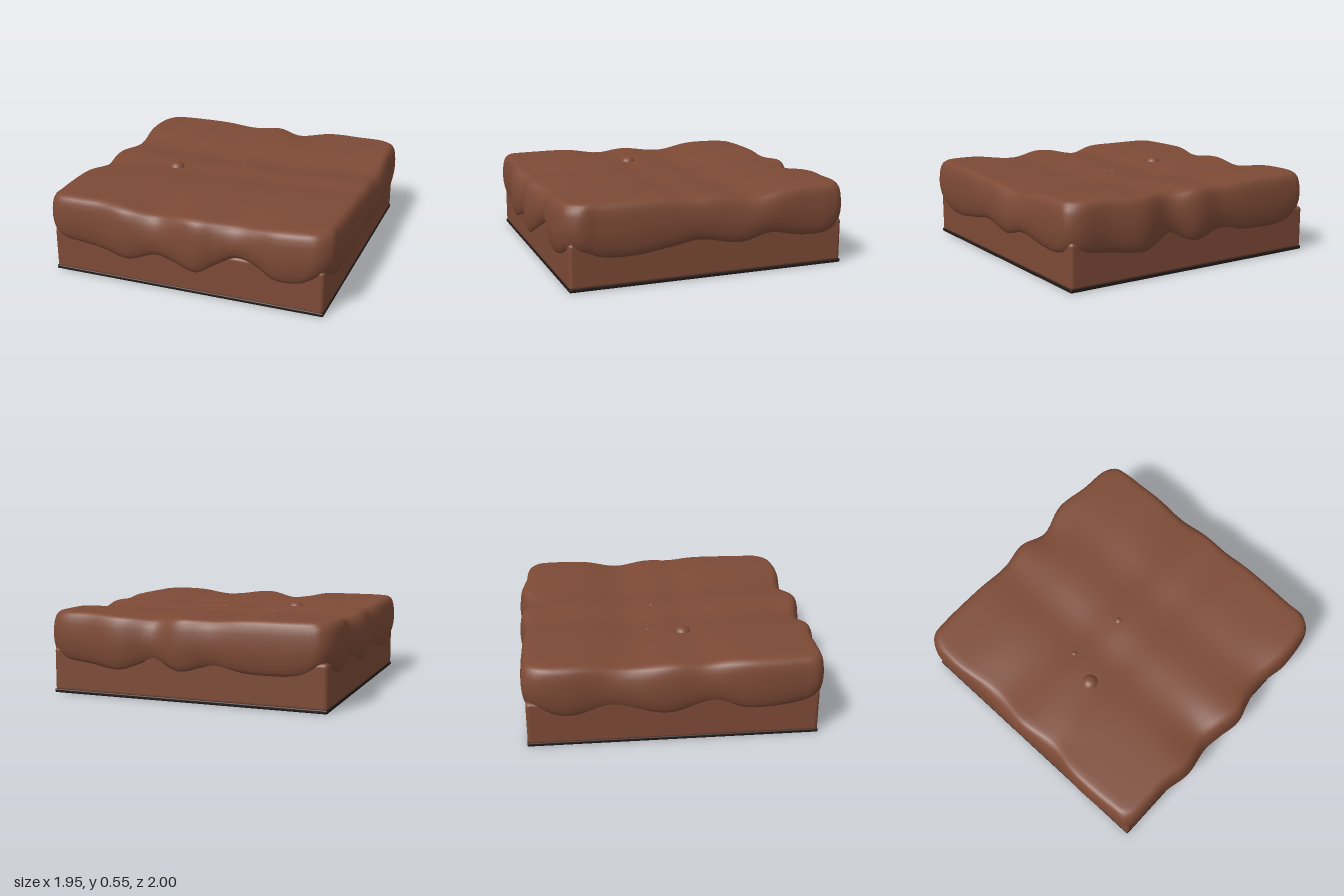
import * as THREE from 'three';
import { RoundedBoxGeometry } from 'three/addons/geometries/RoundedBoxGeometry.js';

// Outline of the overhanging top layer: [x, z, height of its lower edge], anticlockwise from above
const outline = [
  [-0.9, 0.94, 0.24], [-0.75, 0.95, 0.23], [-0.6, 0.95, 0.21], [-0.4, 0.985, 0.185], [-0.2, 0.96, 0.235],
  [-0.06, 0.975, 0.21], [0.1, 1.0, 0.18], [0.22, 0.97, 0.24], [0.36, 0.945, 0.3], [0.5, 0.96, 0.27],
  [0.62, 0.975, 0.21], [0.78, 0.965, 0.21], [0.88, 0.94, 0.25], [0.945, 0.86, 0.25],
  [0.95, 0.75, 0.21], [0.96, 0.55, 0.2], [0.965, 0.3, 0.23], [0.965, 0.1, 0.26], [0.975, -0.2, 0.22],
  [0.965, -0.4, 0.26], [0.95, -0.65, 0.22], [0.945, -0.82, 0.22], [0.925, -0.9, 0.24],
  [0.85, -0.95, 0.23], [0.65, -0.965, 0.21], [0.42, -1.0, 0.19], [0.2, -0.945, 0.25], [0, -0.985, 0.2],
  [-0.2, -0.955, 0.24], [-0.45, -0.96, 0.21], [-0.8, -0.955, 0.22], [-0.9, -0.935, 0.26],
  [-0.955, -0.86, 0.25], [-0.975, -0.7, 0.21], [-0.955, -0.4, 0.25], [-0.975, -0.05, 0.2],
  [-0.955, 0.25, 0.25], [-0.98, 0.5, 0.21], [-0.97, 0.8, 0.23], [-0.955, 0.9, 0.25],
];

// Soft hollows in the top: [x, z, radius x, radius z, depth]
const hollows = [
  [-0.2, 0.92, 0.15, 0.2, 0.03], [0.38, 0.95, 0.2, 0.18, 0.025], [0.17, -0.95, 0.12, 0.14, 0.03],
  [0.95, -0.3, 0.25, 0.16, 0.015], [-0.95, 0.24, 0.2, 0.14, 0.02], [-0.95, -0.38, 0.25, 0.14, 0.015],
  [0, -0.24, 3, 0.2, 0.035], [0, 0.14, 3, 0.14, 0.018],
  [-0.2, 0, 0.17, 3, 0.018], [0.32, 0, 0.18, 3, 0.014],
];
function topHeight(x, z) {
  let y = 0.54;
  for (const [cx, cz, rx, rz, d] of hollows) {
    y -= d * Math.exp(-(((x - cx) / rx) ** 2) - ((z - cz) / rz) ** 2);
  }
  return y;
}

// Side section: [inset, fraction of the way from lower edge to top]
const section = [
  [0.1, 0.15], [0.05, 0.03], [0.033, 0], [0.02, 0.07], [0.01, 0.18], [0.003, 0.32], [0, 0.47], [0.002, 0.62],
  [0.006, 0.75], [0.013, 0.86], [0.025, 0.94], [0.042, 0.985], [0.065, 1],
];
for (let i = 1; i <= 24; i++) section.push([0.065 + (0.935 * i) / 24, 1]);

function topLayerGeometry() {
  const around = 240;
  const curve = new THREE.CatmullRomCurve3(outline.map(([x, z, y]) => new THREE.Vector3(x, y, z)), true);
  const rim = Array.from({ length: around }, (_, j) => curve.getPoint(j / around));
  const positions = [];
  const indices = [];
  section.forEach(([inset, rise], i) => {
    rim.forEach((p, j) => {
      // the upper rim draws in wherever a hollow reaches it
      const drawIn = 0.7 * (0.54 - topHeight(p.x, p.z)) * rise ** 3;
      const scale = (1 - inset) * (1 - drawIn);
      const x = p.x * scale;
      const z = p.z * scale;
      positions.push(x, THREE.MathUtils.lerp(p.y, topHeight(x, z), rise), z);
      if (i === section.length - 1) return;
      const a = i * around + j;
      const b = i * around + ((j + 1) % around);
      indices.push(a, b, b + around);
      // the innermost ring closes to a point
      if (i < section.length - 2) indices.push(a, b + around, a + around);
    });
  });
  const geometry = new THREE.BufferGeometry();
  geometry.setAttribute('position', new THREE.Float32BufferAttribute(positions, 3));
  geometry.setIndex(indices);
  geometry.computeVertexNormals();
  return geometry;
}

export function createModel() {
  const group = new THREE.Group();
  const brown = new THREE.MeshStandardMaterial({ color: 0x7d4a36 });
  brown.name = 'chocolateBrown';
  const black = new THREE.MeshStandardMaterial({ color: 0x231b19 });
  black.name = 'burntBlack';

  function add(name, geometry, material, x, y, z) {
    const mesh = new THREE.Mesh(geometry, material);
    mesh.name = name;
    mesh.position.set(x, y, z);
    group.add(mesh);
    return mesh;
  }

  // Straight-sided lower layer with a dark underside
  add('lowerLayer', new RoundedBoxGeometry(1.846, 0.29, 1.846, 4, 0.025), brown, -0.015, 0.155, -0.005);
  add('darkUnderside', new RoundedBoxGeometry(1.85, 0.024, 1.85, 3, 0.008), black, -0.015, 0.012, -0.005);

  // Wavy layer spilling over the sides
  add('topLayer', topLayerGeometry(), brown, 0, 0, 0);

  // Crumbs on top: [x, z, radius, height showing]
  const crumbs = [[-0.42, 0.1, 0.055, 0.03], [0.04, -0.06, 0.03, 0.008], [-0.34, -0.12, 0.025, 0.006]];
  for (const [x, z, r, show] of crumbs) {
    const crumb = add('crumb', new THREE.SphereGeometry(r, 20, 14), brown, x, topHeight(x, z) + show - r * 0.8, z);
    crumb.scale.y = 0.8;
  }
  return group;
}
